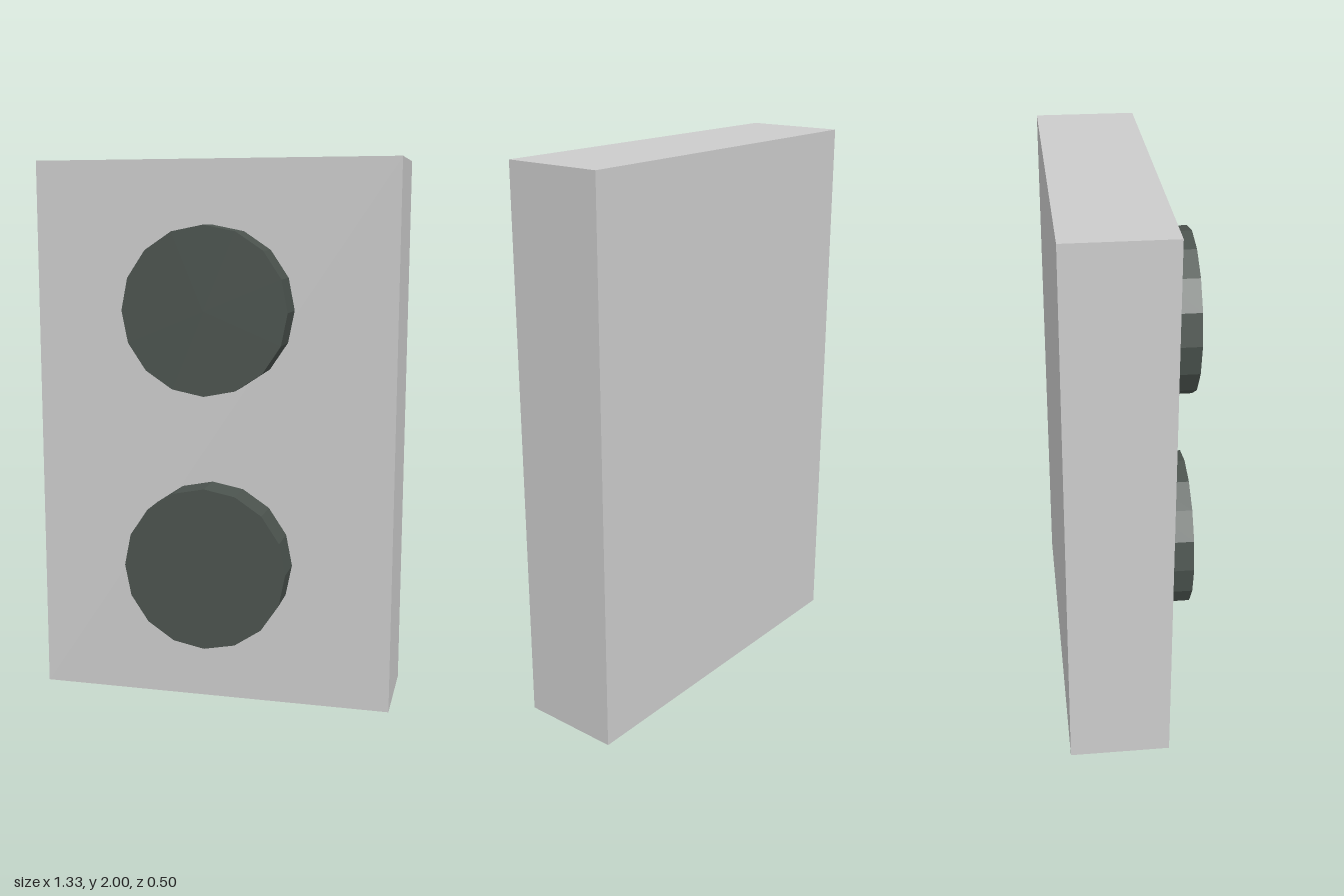
import * as THREE from 'three';

export function createModel() {
  const group = new THREE.Group();
  const panelMaterial = new THREE.MeshStandardMaterial({ color: 0xcccccc, flatShading: true });
  const discMaterial = new THREE.MeshStandardMaterial({ color: 0x4b534e, flatShading: true });

  // Upright slab
  const back = -0.25, face = 0.115, front = 0.25;
  const panel = new THREE.Mesh(new THREE.BoxGeometry(1.333, 2, face - back), panelMaterial);
  panel.name = 'panel';
  panel.position.set(0, 1, (back + face) / 2);
  group.add(panel);

  // Two 16-sided discs, set slightly into the slab's front face
  const sunk = 0.01;
  const depth = front - face + sunk;
  const discGeometry = new THREE.CylinderGeometry(0.3, 0.3, depth, 16).rotateX(Math.PI / 2);
  for (const [name, y] of [['lowerDisc', 0.535], ['upperDisc', 1.47]]) {
    const disc = new THREE.Mesh(discGeometry, discMaterial);
    disc.name = name;
    disc.position.set(0, y, front - depth / 2);
    group.add(disc);
  }

  return group;
}
